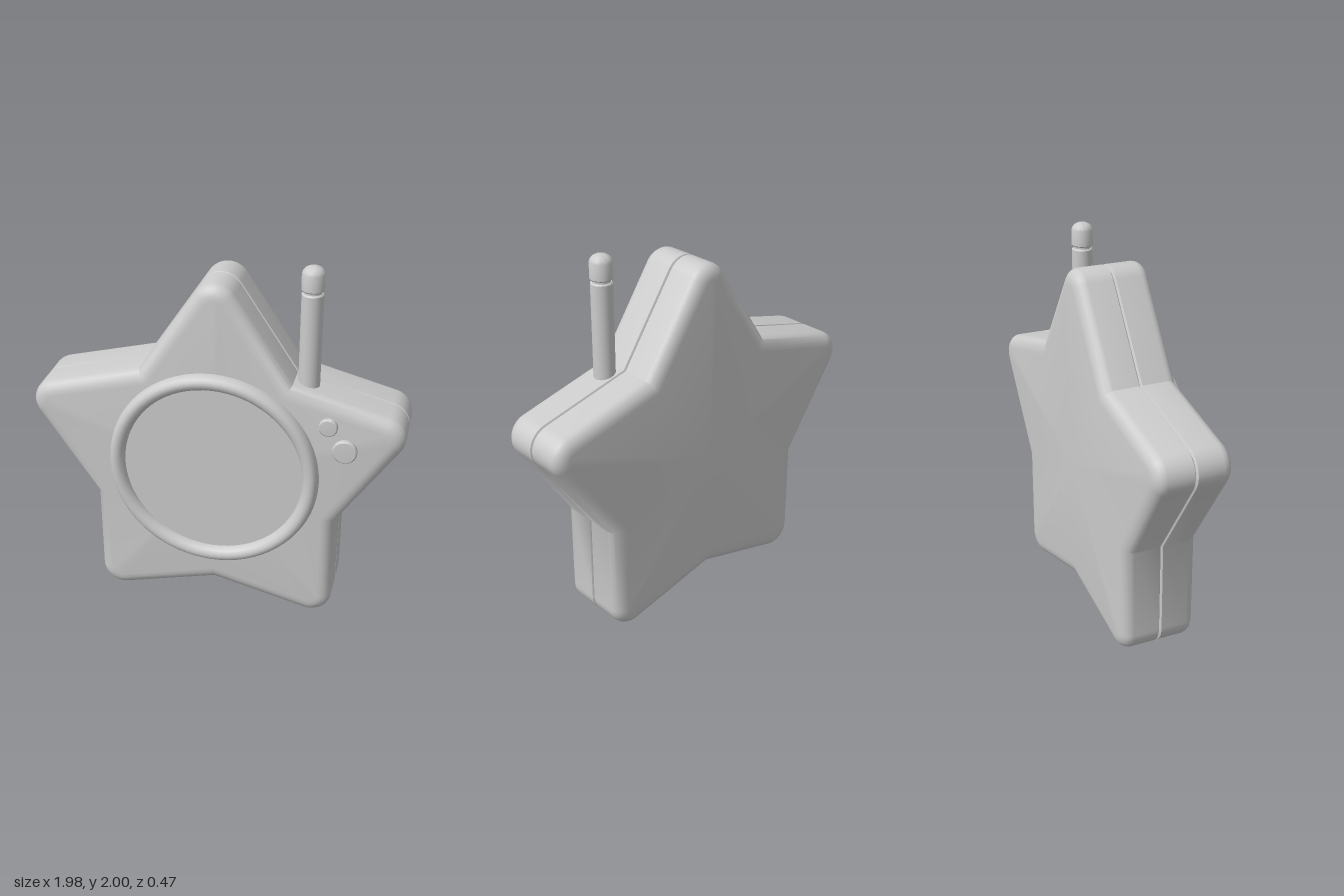
import * as THREE from 'three';
import { toCreasedNormals } from 'three/addons/utils/BufferGeometryUtils.js';

const TIP_RADIUS = 0.118;
const CENTRE_Y = 0.82;

// Right half of the sharp star, bottom valley to top tip; then mirrored
const half = [[0, 0.135], [0.656, -0.03], [0.656, 0.612], [1.063, 1.217], [0.402, 1.387], [0, 1.99]];
const star = [...half, ...half.slice(1, -1).reverse().map(([x, y]) => [-x, y])]
  .map(([x, y]) => new THREE.Vector2(x, y));

// Star outline moved inwards by d, with rounded tips and sharp valleys
function outline(d) {
  const points = [];
  star.forEach((p, i) => {
    const a = star[(i + 9) % 10], b = star[(i + 1) % 10];
    const n1 = new THREE.Vector2(p.y - a.y, a.x - p.x).normalize();
    const n2 = new THREE.Vector2(b.y - p.y, p.x - b.x).normalize();
    const miter = n1.clone().add(n2).divideScalar(1 + n1.dot(n2));
    if (i % 2 === 0) {
      points.push(p.clone().addScaledVector(miter, -d));
      return;
    }
    const c = p.clone().addScaledVector(miter, -TIP_RADIUS);
    const start = Math.atan2(n1.y, n1.x);
    const sweep = Math.acos(n1.dot(n2));
    for (let k = 0; k <= 12; k++) {
      const t = start + sweep * k / 12;
      points.push(new THREE.Vector2(Math.cos(t), Math.sin(t)).multiplyScalar(TIP_RADIUS - d).add(c));
    }
  });
  return points;
}

// Closed solid through star outlines, given as [inset, z] from back to front
function starLoft(sections) {
  const pos = [];
  const rings = sections.map(([d, z]) => outline(d).map(p => [p.x, p.y, z]));
  const n = rings[0].length;
  const first = rings[0], last = rings[rings.length - 1];
  for (let i = 0; i < n; i++) {
    const j = (i + 1) % n;
    for (let r = 0; r < rings.length - 1; r++) {
      const lo = rings[r], hi = rings[r + 1];
      pos.push(...lo[i], ...lo[j], ...hi[j], ...lo[i], ...hi[j], ...hi[i]);
    }
    pos.push(0, CENTRE_Y, last[0][2], ...last[i], ...last[j]);
    pos.push(0, CENTRE_Y, first[0][2], ...first[j], ...first[i]);
  }
  const geo = new THREE.BufferGeometry();
  geo.setAttribute('position', new THREE.Float32BufferAttribute(pos, 3));
  return toCreasedNormals(geo, 0.6);
}

// Smooth turned shape with sharp edges kept, axis along y
function turned(profile, segments = 48) {
  const geo = new THREE.LatheGeometry(profile.map(([r, y]) => new THREE.Vector2(r, y)), segments);
  return toCreasedNormals(geo, 0.6);
}

export function createModel() {
  const group = new THREE.Group();
  const material = new THREE.MeshStandardMaterial({ color: 0xcccccc });
  const add = (name, geometry, x = 0, y = 0, z = 0) => {
    const mesh = new THREE.Mesh(geometry, material);
    mesh.name = name;
    mesh.position.set(x, y, z);
    group.add(mesh);
    return mesh;
  };
  const addFacing = (...args) => { add(...args).rotation.x = Math.PI / 2; };

  // Two shells with a rounded outer rim and a fine seam between them
  const rim = [];
  for (let k = 0; k <= 5; k++) {
    const t = k / 5 * Math.PI / 2;
    rim.push([0.075 * (1 - Math.cos(t)), 0.06 * Math.sin(t)]);
  }
  add('frontShell', starLoft([[0.012, -0.028], [0, -0.02], ...rim.map(([d, z]) => [d, 0.12 + z])]));
  add('backShell', starLoft([...rim.map(([d, z]) => [d, -0.175 - z]).reverse(), [0, -0.036], [0.012, -0.028]]));

  // Round face: raised bezel and flat screen
  addFacing('screenBezel', turned([
    [0.565, -0.01], [0.565, 0.006], [0.56, 0.025], [0.552, 0.043], [0.54, 0.053], [0.525, 0.056],
    [0.51, 0.053], [0.495, 0.043], [0.485, 0.028], [0.48, 0.01], [0.48, -0.01],
  ], 72), 0, 0.86, 0.18);
  addFacing('screen', new THREE.CylinderGeometry(0.482, 0.482, 0.02, 72), 0, 0.86, 0.18);

  // Two buttons on the left arm
  const button = r => turned([[r, -0.02], [r, 0.018], [r - 0.006, 0.024], [0, 0.027]], 32);
  addFacing('smallButton', button(0.049), 0.6, 1.2, 0.18);
  addFacing('largeButton', button(0.064), 0.69, 1.07, 0.18);

  // Antenna rod, narrow neck and rounded cap
  add('antennaRod', turned([[0, 1.28], [0.056, 1.28], [0.056, 1.853], [0.05, 1.86], [0, 1.86]], 32), 0.472, 0, 0.045);
  add('antennaNeck', new THREE.CylinderGeometry(0.046, 0.046, 0.04, 32), 0.472, 1.865, 0.045);
  add('antennaCap', turned([
    [0, 1.872], [0.053, 1.872], [0.058, 1.878], [0.058, 1.96], [0.053, 1.974], [0.042, 1.987],
    [0.025, 1.996], [0, 2],
  ], 32), 0.472, 0, 0.045);

  // Lathe profiles running from the rim inwards at the top face outwards
  return group;
}
